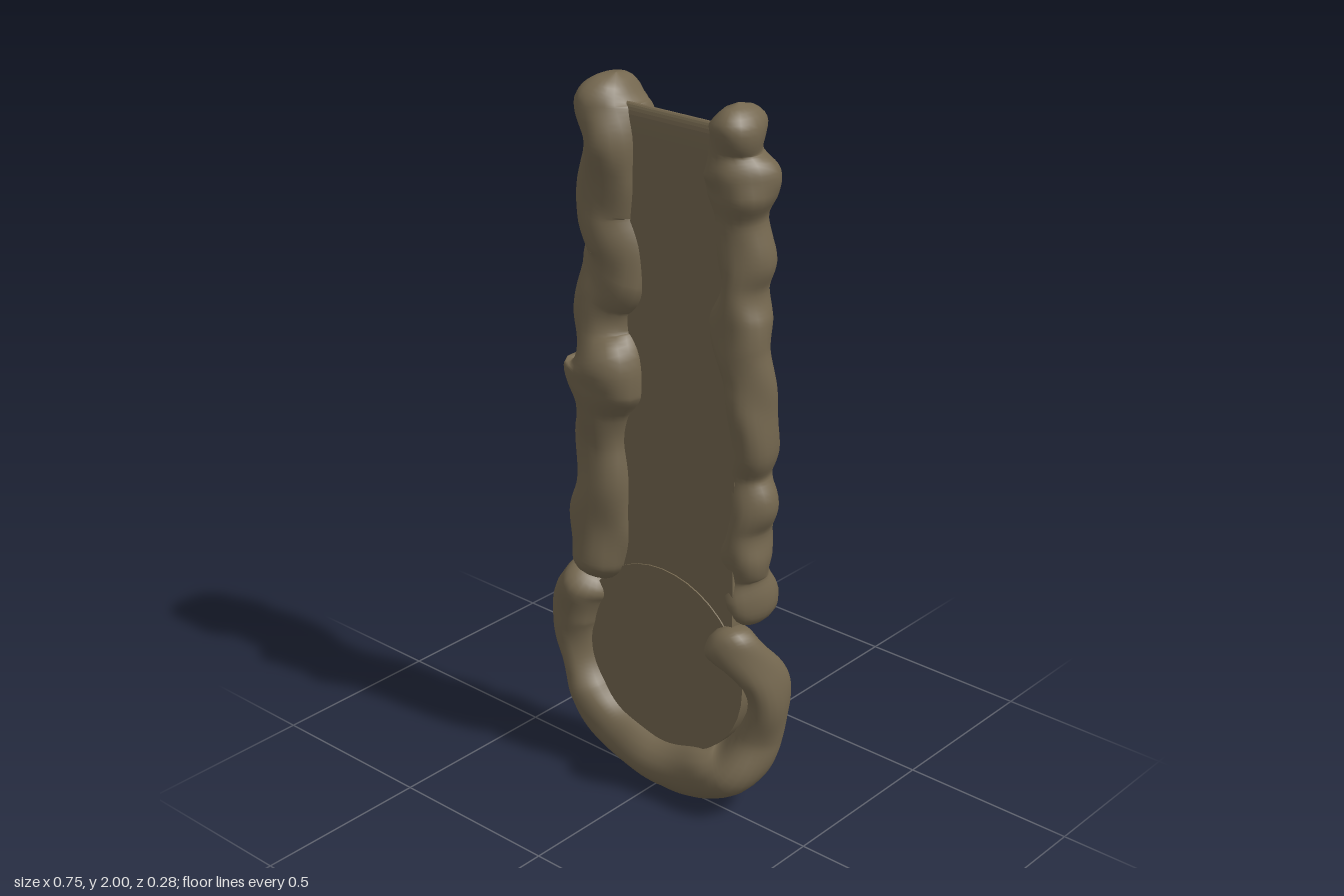
import * as THREE from 'three';

const stone = new THREE.MeshStandardMaterial({ color: 0x74674f });
stone.name = 'brown stone';

// Lumpy tube through rows of [x, y, z, radius in the xy plane, radius in z], with rounded ends
function lumpyTube(name, rows, cap, phase) {
  const path = new THREE.CatmullRomCurve3(rows.map(r => new THREE.Vector3(r[0], r[1], r[2])));
  const size = new THREE.CatmullRomCurve3(rows.map(r => new THREE.Vector3(r[3], r[4], 0)));
  const steps = 110, sides = 20, pos = [], idx = [];
  const first = path.getPoint(0), last = path.getPoint(1);
  for (let i = 0; i <= steps; i++) {
    const u = i / steps;
    const c = path.getPoint(u), t = path.getTangent(u), s = size.getPoint(u);
    const n = new THREE.Vector3(-t.y, t.x, 0).normalize();
    const d = Math.min(1, c.distanceTo(first) / cap, c.distanceTo(last) / cap);
    const round = Math.sqrt(Math.max(0, 1 - (1 - d) ** 2));
    for (let j = 0; j < sides; j++) {
      const a = j / sides * Math.PI * 2;
      const lump = 1 + 0.045 * Math.sin(3 * a + 31 * u + phase) + 0.04 * Math.sin(2 * a - 47 * u + phase);
      const k = round * lump;
      pos.push(c.x + n.x * Math.cos(a) * s.x * k, c.y + n.y * Math.cos(a) * s.x * k, c.z + Math.sin(a) * s.y * k);
    }
  }
  for (let i = 0; i < steps; i++) for (let j = 0; j < sides; j++) {
    const a = i * sides + j, b = i * sides + (j + 1) % sides;
    idx.push(a, b, a + sides, b, b + sides, a + sides);
  }
  const g = new THREE.BufferGeometry();
  g.setAttribute('position', new THREE.Float32BufferAttribute(pos, 3));
  g.setIndex(idx);
  g.computeVertexNormals();
  const m = new THREE.Mesh(g, stone);
  m.name = name;
  return m;
}

// Post rows are given as [y, left edge, right edge, z, depth radius]
const post = rows => rows.map(([y, l, r, z, d]) => [(l + r) / 2, y, z, (r - l) / 2, d]);

export function createModel() {
  const model = new THREE.Group();

  // Thick post on the model's right
  model.add(lumpyTube('rightPost', post([
    [0.58, -0.29, -0.12, 0, 0.09], [0.66, -0.31, -0.10, 0, 0.10], [0.76, -0.30, -0.09, 0.01, 0.09],
    [0.87, -0.27, -0.09, 0.01, 0.09], [1.0, -0.285, -0.095, 0, 0.09], [1.10, -0.255, -0.09, 0.02, 0.09],
    [1.18, -0.27, -0.05, 0.04, 0.10], [1.24, -0.27, -0.035, 0.04, 0.10], [1.32, -0.27, -0.085, 0.01, 0.09],
    [1.40, -0.27, -0.08, 0, 0.09], [1.48, -0.26, -0.03, -0.01, 0.095], [1.55, -0.25, -0.02, -0.02, 0.10],
    [1.63, -0.275, -0.07, -0.015, 0.10], [1.74, -0.25, -0.06, -0.01, 0.10], [1.84, -0.24, -0.06, -0.01, 0.115],
    [1.93, -0.25, -0.09, 0, 0.10], [2.0, -0.21, -0.10, 0, 0.085],
  ]), 0.07, 0.4));

  // Slim post on the model's left
  model.add(lumpyTube('leftPost', post([
    [0.58, 0.22, 0.31, -0.05, 0.07], [0.66, 0.22, 0.32, -0.05, 0.085], [0.72, 0.19, 0.31, -0.045, 0.075],
    [0.79, 0.19, 0.325, -0.03, 0.075], [0.87, 0.22, 0.32, -0.03, 0.07], [0.94, 0.225, 0.345, -0.03, 0.07],
    [1.02, 0.225, 0.32, -0.03, 0.065], [1.10, 0.225, 0.35, -0.025, 0.07], [1.21, 0.225, 0.345, -0.01, 0.07],
    [1.29, 0.215, 0.345, -0.01, 0.065], [1.37, 0.185, 0.33, -0.01, 0.075], [1.45, 0.17, 0.33, -0.01, 0.07],
    [1.53, 0.2, 0.31, -0.015, 0.07], [1.60, 0.195, 0.325, -0.02, 0.08], [1.70, 0.19, 0.31, -0.01, 0.07],
    [1.77, 0.155, 0.34, -0.01, 0.085], [1.82, 0.15, 0.34, -0.005, 0.085], [1.88, 0.175, 0.30, 0, 0.075],
    [1.94, 0.19, 0.31, 0.01, 0.085], [2.0, 0.20, 0.295, 0.01, 0.07],
  ]), 0.06, 2.1));

  // Curved rim around the bottom, open at the top
  model.add(lumpyTube('roundedRim', [
    [-0.23, 0.60, 0.02, 0.075, 0.07], [-0.265, 0.53, 0.02, 0.08, 0.08], [-0.295, 0.44, 0.01, 0.075, 0.09],
    [-0.275, 0.33, 0, 0.06, 0.09], [-0.24, 0.22, 0, 0.08, 0.10], [-0.14, 0.13, 0, 0.075, 0.09],
    [0, 0.092, 0, 0.085, 0.09], [0.15, 0.105, -0.01, 0.085, 0.10], [0.25, 0.15, -0.02, 0.08, 0.095],
    [0.295, 0.25, -0.055, 0.06, 0.07], [0.325, 0.35, -0.06, 0.05, 0.075], [0.315, 0.45, -0.03, 0.055, 0.075],
    [0.265, 0.53, 0.02, 0.07, 0.07], [0.22, 0.58, 0.03, 0.06, 0.06],
  ], 0.05, 1.2));

  // Flat panel between the posts, with a softened top edge
  const profile = new THREE.Shape();
  profile.moveTo(0, 0.5);
  profile.lineTo(0.034, 0.5);
  profile.lineTo(0.034, 1.87);
  profile.quadraticCurveTo(0.034, 1.94, 0.017, 1.94);
  profile.quadraticCurveTo(0, 1.94, 0, 1.87);
  const panelShape = new THREE.ExtrudeGeometry(profile, { depth: 0.42, bevelEnabled: false, curveSegments: 8 });
  panelShape.rotateY(-Math.PI / 2);
  panelShape.scale(1, 1, 1);
  panelShape.translate(0.27, 0, 0);
  const panel = new THREE.Mesh(panelShape, stone);
  panel.name = 'panel';
  model.add(panel);

  // Round plate filling the rim
  const disc = new THREE.Mesh(new THREE.CylinderGeometry(0.27, 0.27, 0.042, 40), stone);
  disc.name = 'roundPlate';
  disc.rotation.x = Math.PI / 2;
  disc.scale.x = 1.04;
  disc.position.set(0.03, 0.42, 0.017);
  model.add(disc);

  return model;
}
